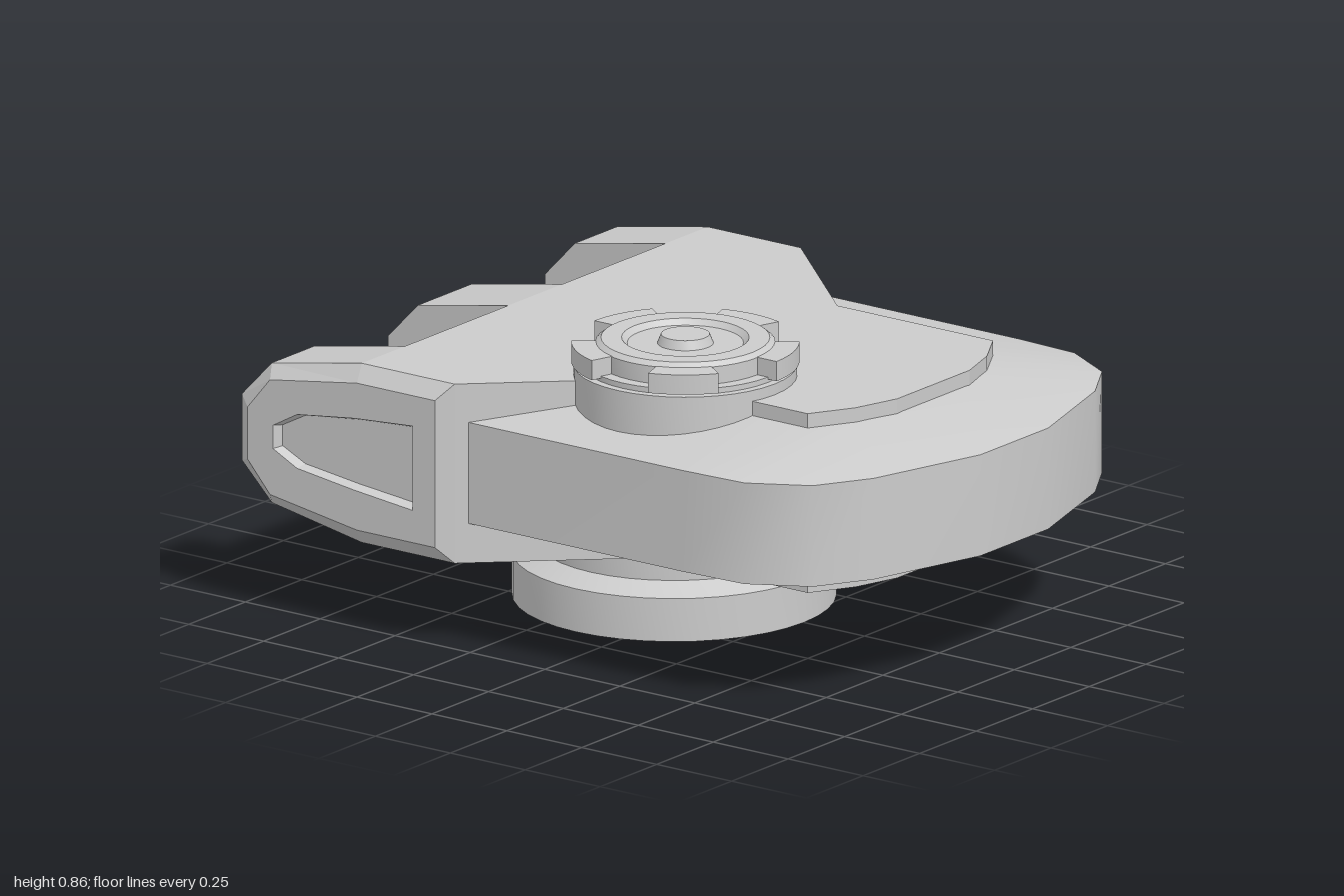
import * as THREE from 'three';
import { toCreasedNormals } from 'three/addons/utils/BufferGeometryUtils.js';

const material = new THREE.MeshStandardMaterial({ color: 0xcccccc });
const openMaterial = new THREE.MeshStandardMaterial({ color: 0xcccccc, side: THREE.DoubleSide });

function part(name, geometry, mat = material, crease = 0.56) {
  const mesh = new THREE.Mesh(toCreasedNormals(geometry, crease), mat);
  mesh.name = name;
  return mesh;
}

// Skin a row of equal-length loops and close both ends with a centre fan.
function loft(loops) {
  const n = loops[0].length;
  const pos = loops.flat(2);
  const index = [];
  for (let k = 0; k < loops.length - 1; k++) {
    for (let i = 0; i < n; i++) {
      const j = (i + 1) % n, a = k * n, b = a + n;
      index.push(a + i, a + j, b + j, a + i, b + j, b + i);
    }
  }
  [0, loops.length - 1].forEach((k) => {
    const c = pos.length / 3;
    for (let d = 0; d < 3; d++) pos.push(loops[k].reduce((s, p) => s + p[d], 0) / n);
    for (let i = 0; i < n; i++) {
      const a = k * n + i, b = k * n + (i + 1) % n;
      index.push(c, ...(k ? [a, b] : [b, a]));
    }
  });
  const g = new THREE.BufferGeometry();
  g.setAttribute('position', new THREE.Float32BufferAttribute(pos, 3));
  g.setIndex(index);
  return g;
}

// Plan outline: right half (x, z) mirrored to the left, at height y.
const plan = (half, y) => [
  ...half.map(([x, z]) => [x, y, z]),
  ...half.slice().reverse().map(([x, z]) => [-x, y, z]),
];
// Side outline (z, y) placed at x.
const side = (loop, x) => loop.map(([z, y]) => [x, y, z]);

export function createModel() {
  const model = new THREE.Group();

  // Raised central block
  const block = [[0.16, 0.73], [0.29, 0.69], [0.41, 0.62], [0.41, 0.1], [0.765, -0.29], [0.765, -0.6]];
  model.add(part('centralBlock', loft([plan(block, 0.245), plan(block, 0.745)]), material, 0.2));

  // Rounded front shell with sloping top and bottom
  const rim = [[0.15, 1], [0.49, 0.9], [0.64, 0.81], [0.73, 0.65], [0.74, 0.45], [0.74, -0.32]];
  const inner = [[0.14, 0.73], [0.25, 0.703], [0.3, 0.685], [0.41, 0.62], [0.41, 0.42], [0.41, -0.32]];
  model.add(part('frontShell', loft([
    plan(inner, 0.29), plan(rim, 0.355), plan(rim, 0.637), plan(inner, 0.705),
  ]), material, 0.56));

  // Rear hinge lugs
  const lug = [[-0.6, 0.245], [-0.9, 0.3], [-1, 0.4], [-1, 0.585], [-0.9, 0.69], [-0.6, 0.745]];
  [[-0.765, -0.575], [-0.12, 0.12], [0.575, 0.765]].forEach(([x0, x1]) => {
    model.add(part('hingeLug', loft([side(lug, x0), side(lug, x1)]), material, 0.1));
  });

  // Hinge bars set back between the lugs
  const bar = [[-0.59, 0.33], [-0.855, 0.378], [-0.915, 0.44], [-0.915, 0.55], [-0.855, 0.612], [-0.59, 0.66]];
  [[-0.58, -0.115], [0.115, 0.58]].forEach(([x0, x1]) => {
    model.add(part('hingeBar', loft([side(bar, x0), side(bar, x1)]), material, 0.1));
  });

  // Chamfered side cheeks with a recessed panel
  const full = [[-0.29, 0.245], ...lug, [-0.29, 0.745]];
  const edge = [[-0.33, 0.29], [-0.59, 0.29], [-0.88, 0.335], [-0.955, 0.42],
    [-0.955, 0.565], [-0.88, 0.655], [-0.59, 0.7], [-0.33, 0.7]];
  const panel = [[-0.405, 0.38], [-0.6, 0.4], [-0.79, 0.425], [-0.87, 0.465],
    [-0.87, 0.53], [-0.79, 0.575], [-0.6, 0.6], [-0.405, 0.615]];
  const recess = panel.map(([z, y]) => [-0.64 + (z + 0.64) * 0.95, 0.4975 + (y - 0.4975) * 0.9]);
  const cheek = loft([side(full, 0.765), side(edge, 0.8), side(panel, 0.8), side(recess, 0.772)]);
  [1, -1].forEach((s) => {
    const mesh = part(s > 0 ? 'leftCheek' : 'rightCheek', cheek, material, 0.1);
    mesh.scale.x = s;
    model.add(mesh);
  });

  // Hollow neck ring underneath
  const lathe = (points, segments) =>
    new THREE.LatheGeometry(points.map(([r, y]) => new THREE.Vector2(r, y)), segments);
  const neck = part('neckRing', lathe([[0.433, 0], [0.433, 0.12], [0.367, 0.15], [0.367, 0.26]], 40), openMaterial);
  neck.position.z = -0.135;
  model.add(neck);

  // Dial with stepped cap and centre button
  const dial = new THREE.Group();
  dial.name = 'dial';
  dial.position.set(-0.328, 0, 0.15);
  dial.add(part('dialBody', lathe([
    [0.298, 0.62], [0.298, 0.775], [0.275, 0.775], [0.275, 0.79], [0.24, 0.79], [0.24, 0.838],
    [0.225, 0.85], [0.17, 0.85], [0.155, 0.835], [0.075, 0.835], [0.065, 0.86], [0, 0.86],
  ], 40), openMaterial));

  // Five grip teeth around the dial
  const half = Math.PI / 10;
  const sector = new THREE.Shape();
  sector.absarc(0, 0, 0.304, -half, half, false);
  sector.absarc(0, 0, 0.232, half, -half, true);
  const tooth = new THREE.ExtrudeGeometry(sector, { depth: 0.055, bevelEnabled: false, curveSegments: 6 });
  tooth.rotateX(-Math.PI / 2).translate(0, 0.784, 0);
  for (let i = 0; i < 5; i++) {
    const mesh = part('gripTooth', tooth);
    mesh.rotation.y = i * Math.PI * 0.4;
    dial.add(mesh);
  }
  model.add(dial);

  return model;
}
